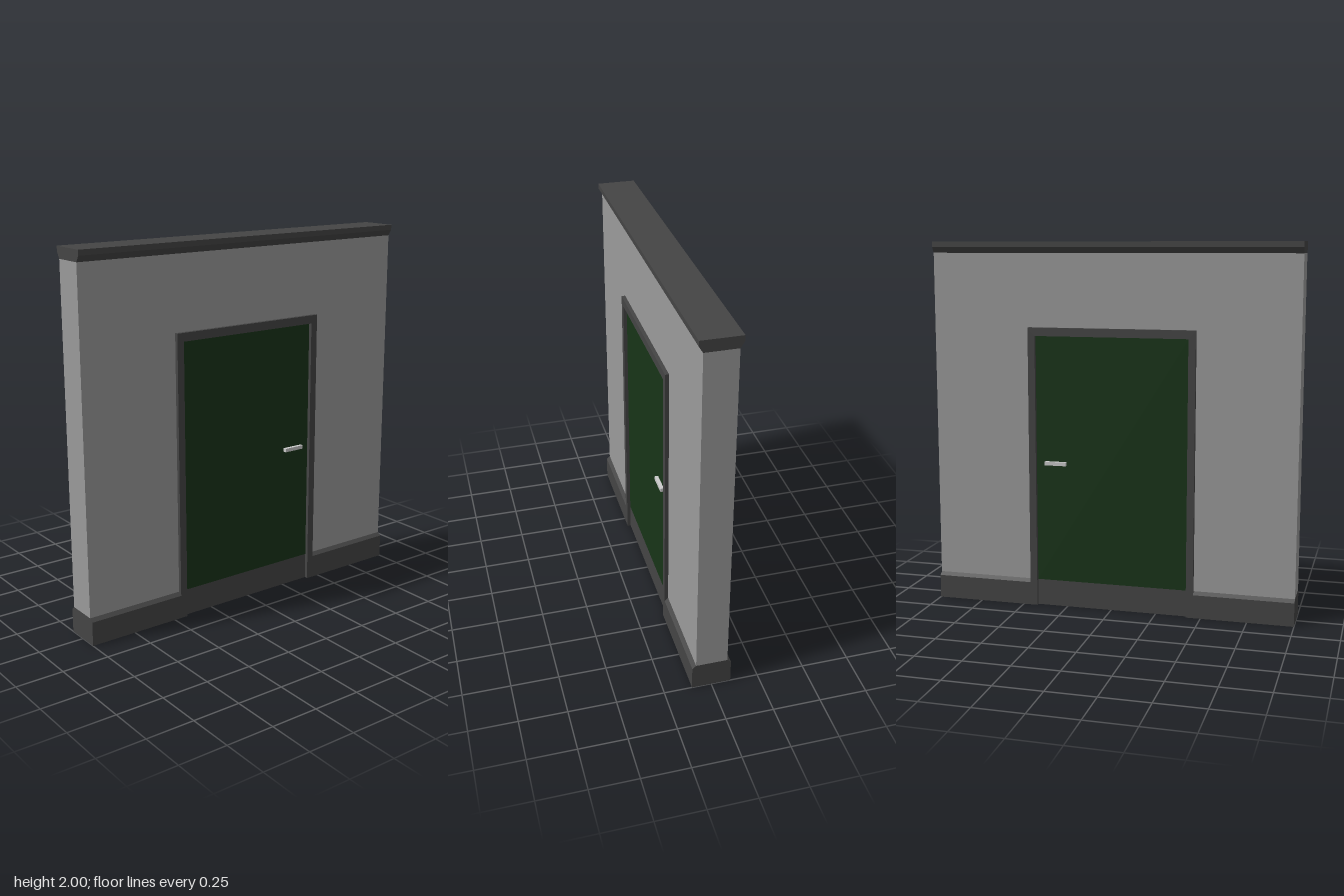
import * as THREE from 'three';

const WALL = 0.083, TRIM = 0.103, DOOR = 0.084; // half thicknesses
const BASE = 0.145, CORNICE = 1.94;             // wall starts and ends here
const DOOR_TOP = 1.5;

const material = (color) => new THREE.MeshStandardMaterial({ color, flatShading: true });

function extrude(points, depth) {
  const shape = new THREE.Shape(points.map(([x, y]) => new THREE.Vector2(x, y)));
  const geometry = new THREE.ExtrudeGeometry(shape, { depth, bevelEnabled: false });
  return geometry.translate(0, 0, -depth / 2);
}

// An upside-down U, drawn in the z-y plane and extruded across x
function arch(outer, top, inner, innerTop, bottom, depth) {
  return extrude([
    [-outer, bottom], [-inner, bottom], [-inner, innerTop], [inner, innerTop],
    [inner, bottom], [outer, bottom], [outer, top], [-outer, top],
  ], depth).rotateY(-Math.PI / 2);
}

export function createModel() {
  const group = new THREE.Group();
  const grey = material(0x9b9b9b);
  const dark = material(0x454545);
  const green = material(0x183418);
  const metal = material(0xcccccc);

  const add = (name, geometry, mat, x = 0, y = 0, z = 0) => {
    const mesh = new THREE.Mesh(geometry, mat);
    mesh.name = name;
    mesh.position.set(x, y, z);
    group.add(mesh);
  };

  // Wall with doorway, and the frame lining it
  add('wall', arch(1, CORNICE, 0.459, 1.545, BASE, WALL * 2), grey);
  add('doorFrame', arch(0.459, 1.545, 0.42, DOOR_TOP, 0, TRIM * 2), dark);

  // Cornice with a chamfered underside
  add('cornice', extrude([
    [-WALL, CORNICE], [WALL, CORNICE], [TRIM, 1.972],
    [TRIM, 2], [-TRIM, 2], [-TRIM, 1.972],
  ], 2), dark);

  // Skirting blocks with a chamfered top, one each side of the doorway
  for (const side of [-1, 1]) {
    add(side > 0 ? 'frontSkirting' : 'backSkirting', extrude([
      [-TRIM, 0], [TRIM, 0], [TRIM, 0.128],
      [WALL, BASE], [-WALL, BASE], [-TRIM, 0.128],
    ], 0.541), dark, 0, 0, side * 0.7295);
  }

  // Door leaf above its threshold
  add('door', new THREE.BoxGeometry(DOOR * 2, DOOR_TOP - BASE, 0.84), green, 0, (DOOR_TOP + BASE) / 2, 0);
  add('threshold', new THREE.BoxGeometry(DOOR * 2, BASE, 0.84), dark, 0, BASE / 2, 0);

  // Bar handle on both faces
  for (const side of [-1, 1]) {
    add(side > 0 ? 'leftHandle' : 'rightHandle',
      new THREE.BoxGeometry(0.02, 0.02, 0.12), metal, side * (DOOR + 0.009), 0.806, -0.31);
  }

  return group;
}
